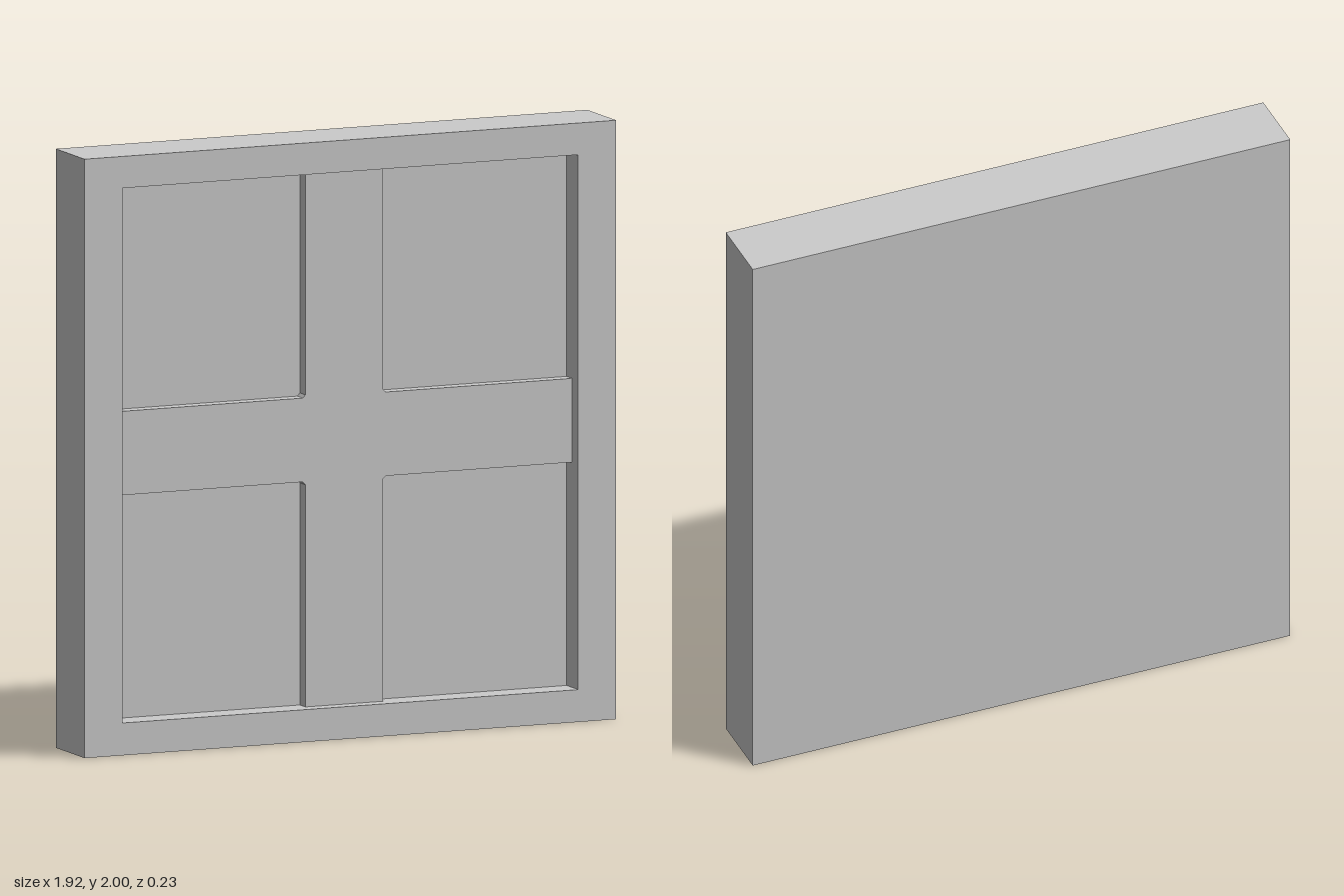
import * as THREE from 'three';

const W = 0.96, H = 2, D = 0.115;            // outer half width, height, half depth
const OX = 0.823, OY0 = 0.108, OY1 = 1.894;  // frame opening
const BAR = 0.14, MID = 1.0;                 // half width and centre height of the cross bars
const PANEL_Z = 0.022, BAR_Z = 0.066;        // front planes of the pane and the bars
const CUT = 0.01;                            // small chamfer where the bars meet

const polygon = (points, Type = THREE.Shape) =>
  new Type(points.map(([x, y]) => new THREE.Vector2(x, y)));

const rect = (x, y0, y1, Type) => polygon([[-x, y0], [x, y0], [x, y1], [-x, y1]], Type);

export function createModel() {
  const model = new THREE.Group();
  const material = new THREE.MeshStandardMaterial({ color: 0xcccccc, flatShading: true });

  const addSlab = (name, shape, z0, z1) => {
    const geometry = new THREE.ExtrudeGeometry(shape, { depth: z1 - z0, bevelEnabled: false });
    geometry.translate(0, 0, z0);
    const mesh = new THREE.Mesh(geometry, material);
    mesh.name = name;
    model.add(mesh);
  };

  // Solid back whose front face forms the four recessed panes
  addSlab('backPanel', rect(W, 0, H), -D, PANEL_Z);

  // Raised outer frame with one large opening
  const frame = rect(W, 0, H);
  frame.holes.push(rect(OX, OY0, OY1, THREE.Path));
  addSlab('outerFrame', frame, PANEL_Z, D);

  // Cross of glazing bars, set back from the frame, with chamfered inner corners
  const b = BAR, c = BAR + CUT;
  addSlab('crossBars', polygon([
    [-b, OY0], [b, OY0], [b, MID - c], [c, MID - b],
    [OX, MID - b], [OX, MID + b], [c, MID + b], [b, MID + c],
    [b, OY1], [-b, OY1], [-b, MID + c], [-c, MID + b],
    [-OX, MID + b], [-OX, MID - b], [-c, MID - b], [-b, MID - c],
  ]), PANEL_Z, BAR_Z);

  return model;
}
